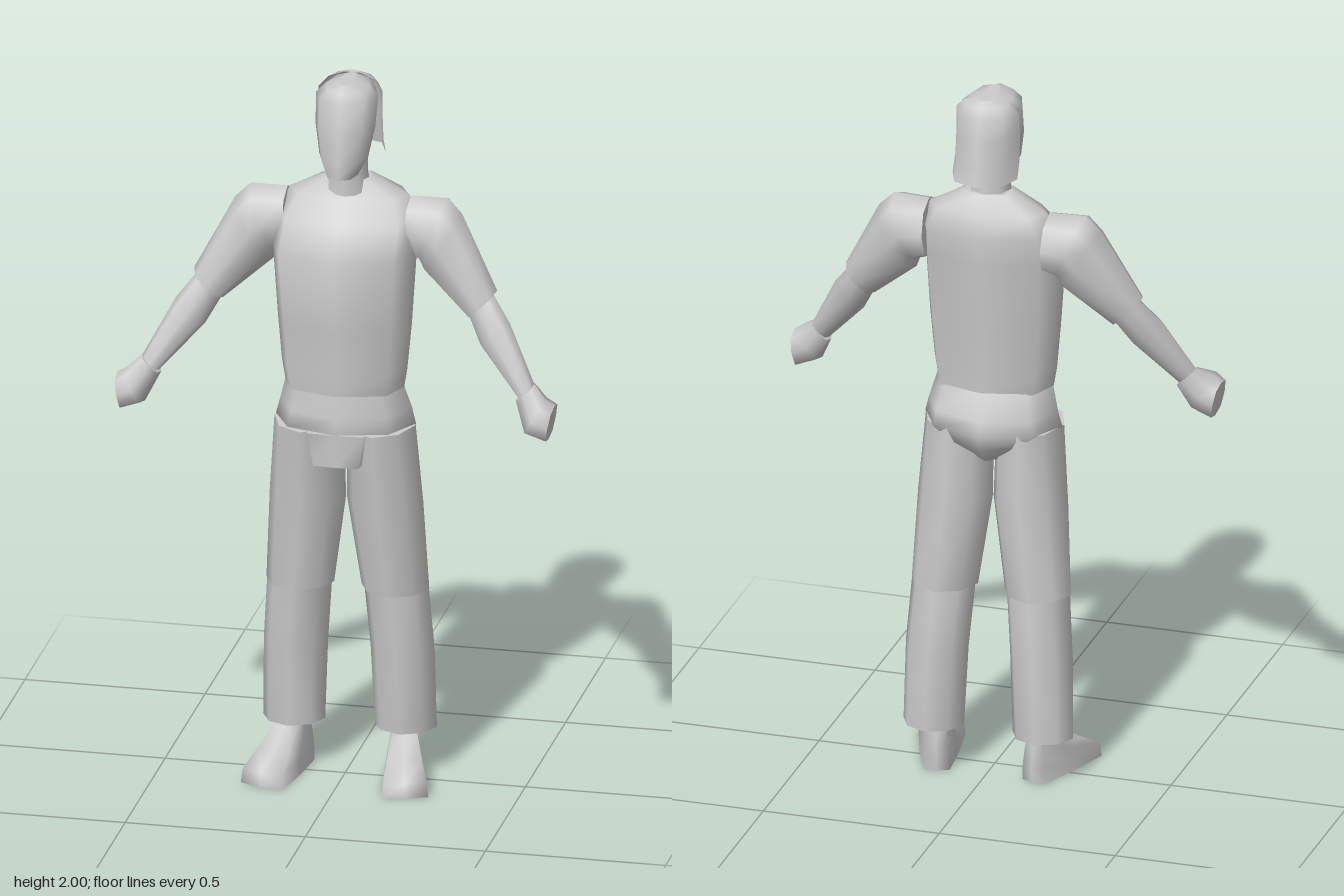
import * as THREE from 'three';

const grey = new THREE.MeshStandardMaterial({ color: 0xcccccc });
const thin = new THREE.MeshStandardMaterial({ color: 0xcccccc, side: THREE.DoubleSide });

// Eight-sided loft. Rows run bottom-up: [x, y, halfWidth, zBack, zFront, tilt in degrees].
// k: reach of the diagonal corners across and along z; taper: widening along z;
// half: back half only, open.
function loft(name, rows, { k = [0.72, 0.72], taper = 0, half = false, mirror = false } = {}) {
  const [p, q] = k;
  const unit = [[1, 0], [p, q], [0, 1], [-p, q], [-1, 0], [-p, -q], [0, -1], [p, -q]];
  const outline = half ? [...unit.slice(4), unit[0]] : unit;
  const n = outline.length, pos = [], idx = [];
  const s = mirror ? -1 : 1;
  const rings = rows.map(([x, y, w, zb, zf, tilt = 0]) => {
    const a = THREE.MathUtils.degToRad(tilt);
    return outline.map(([u, v]) => {
      const z = (zb + zf) / 2 + v * (zf - zb) / 2;
      const reach = u * w * (1 + taper * z);
      return [s * (x + reach * Math.cos(a)), y + reach * Math.sin(a), z];
    });
  });
  const tri = (a, b, c) => (mirror ? idx.push(a, c, b) : idx.push(a, b, c));
  rings.forEach((r) => r.forEach((v) => pos.push(...v)));
  for (let i = 0; i < rows.length - 1; i++) {
    for (let j = 0; j < (half ? n - 1 : n); j++) {
      const a = i * n + j, b = i * n + (j + 1) % n;
      tri(a, a + n, b);
      tri(b, a + n, b + n);
    }
  }
  // end caps with their own vertices, so the rims stay sharp
  const cap = (ring, top) => {
    const o = pos.length / 3;
    ring.forEach((v) => pos.push(...v));
    for (let j = 1; j < n - 1; j++) top ? tri(o, o + j + 1, o + j) : tri(o, o + j, o + j + 1);
  };
  if (!half) cap(rings[0], false);
  cap(rings[rings.length - 1], true);
  const g = new THREE.BufferGeometry();
  g.setAttribute('position', new THREE.Float32BufferAttribute(pos, 3));
  g.setIndex(idx);
  g.computeVertexNormals();
  const mesh = new THREE.Mesh(g, half ? thin : grey);
  mesh.name = name;
  return mesh;
}

export function createModel() {
  const model = new THREE.Group();
  model.name = 'figure';

  // trunk
  model.add(loft('torso', [
    [0, 1.135, 0.165, -0.112, 0.125],
    [0, 1.19, 0.174, -0.115, 0.13],
    [0, 1.32, 0.186, -0.125, 0.135],
    [0, 1.53, 0.2, -0.15, 0.163],
    [0, 1.61, 0.197, -0.153, 0.085],
    [0, 1.67, 0.165, -0.138, 0.025],
    [0, 1.72, 0.065, -0.1, 0.005],
  ], { k: [0.8, 0.7] }));
  model.add(loft('pelvis', [
    [0, 0.93, 0.045, -0.09, 0.09],
    [0, 0.985, 0.125, -0.146, 0.12],
    [0, 1.022, 0.195, -0.148, 0.13],
    [0, 1.07, 0.183, -0.152, 0.128],
    [0, 1.16, 0.158, -0.1, 0.118],
  ], { k: [0.72, 0.72] }));
  model.add(loft('frontFlap', [
    [0, 0.93, 0.068, 0.04, 0.126],
    [0, 1.025, 0.086, 0.04, 0.131],
  ], { k: [0.92, 0.9] }));

  // head
  model.add(loft('neck', [
    [0, 1.68, 0.066, -0.1, 0.025],
    [0, 1.74, 0.055, -0.092, 0.022],
    [0, 1.84, 0.055, -0.09, 0.03],
  ]));
  model.add(loft('head', [
    [0, 1.752, 0.044, -0.02, 0.098],
    [0, 1.8, 0.068, -0.06, 0.098],
    [0, 1.88, 0.083, -0.09, 0.087],
    [0, 1.96, 0.086, -0.12, 0.071],
    [0, 1.985, 0.06, -0.12, 0.055],
    [0, 2.0, 0.02, -0.09, 0.02],
  ]));
  // hair: open shell around the back; row centre is its front edge
  const hair = [
    [1.775, 0.092, -0.09, -0.182],
    [1.82, 0.091, -0.068, -0.174],
    [1.9, 0.09, -0.06, -0.162],
    [1.96, 0.089, -0.065, -0.148],
    [1.987, 0.064, -0.075, -0.13],
    [2.0, 0.022, -0.085, -0.105],
  ];
  model.add(loft('hair', hair.map(([y, w, edge, back]) => [0, y, w, back, 2 * edge - back]),
    { half: true }));

  for (const mirror of [false, true]) {
    const side = mirror ? -1 : 1;
    const limb = new THREE.Group();
    limb.name = mirror ? 'rightLimbs' : 'leftLimbs';

    // arm
    limb.add(loft('sleeve', [
      [0.38, 1.39, 0.057, -0.062, 0.05, 45],
      [0.262, 1.545, 0.1, -0.13, 0.042, 58],
      [0.235, 1.58, 0.099, -0.135, 0.04, 68],
      [0.168, 1.585, 0.085, -0.13, 0.03, 88],
    ], { mirror }));
    limb.add(loft('forearm', [
      [0.522, 1.178, 0.03, 0.055, 0.112, 40],
      [0.423, 1.318, 0.053, -0.015, 0.075, 40],
      [0.365, 1.405, 0.045, -0.055, 0.035, 42],
    ], { mirror }));
    limb.add(loft('hand', [
      [0.598, 1.107, 0.05, 0.06, 0.172, 80],
      [0.555, 1.127, 0.053, 0.06, 0.182, 60],
      [0.518, 1.178, 0.035, 0.05, 0.117, 43],
    ], { mirror, k: [0.78, 0.78] }));

    // leg
    limb.add(loft('thigh', [
      [0.132, 0.54, 0.094, -0.127, 0.062],
      [0.107, 0.8, 0.106, -0.127, 0.096],
      [0.1, 1.025, 0.096, -0.122, 0.126],
    ], { mirror, k: [0.68, 0.68] }));
    limb.add(loft('shin', [
      [0.155, 0.13, 0.086, -0.14, 0.02],
      [0.148, 0.36, 0.089, -0.145, 0.044],
      [0.132, 0.575, 0.09, -0.122, 0.058],
    ], { mirror, k: [0.68, 0.68] }));
    // foot: wide toe, narrow heel, turned outward
    const foot = loft('foot', [
      [0, 0, 0.05, -0.1, 0.163],
      [0, 0.04, 0.047, -0.102, 0.16],
      [0.002, 0.08, 0.043, -0.1, 0.085],
      [0.004, 0.14, 0.036, -0.09, -0.015],
    ], { mirror, k: [0.92, 0.94], taper: 2.5 });
    foot.position.x = side * 0.16;
    foot.rotation.y = side * 0.25;
    limb.add(foot);
    model.add(limb);
  }
  return model;
}
